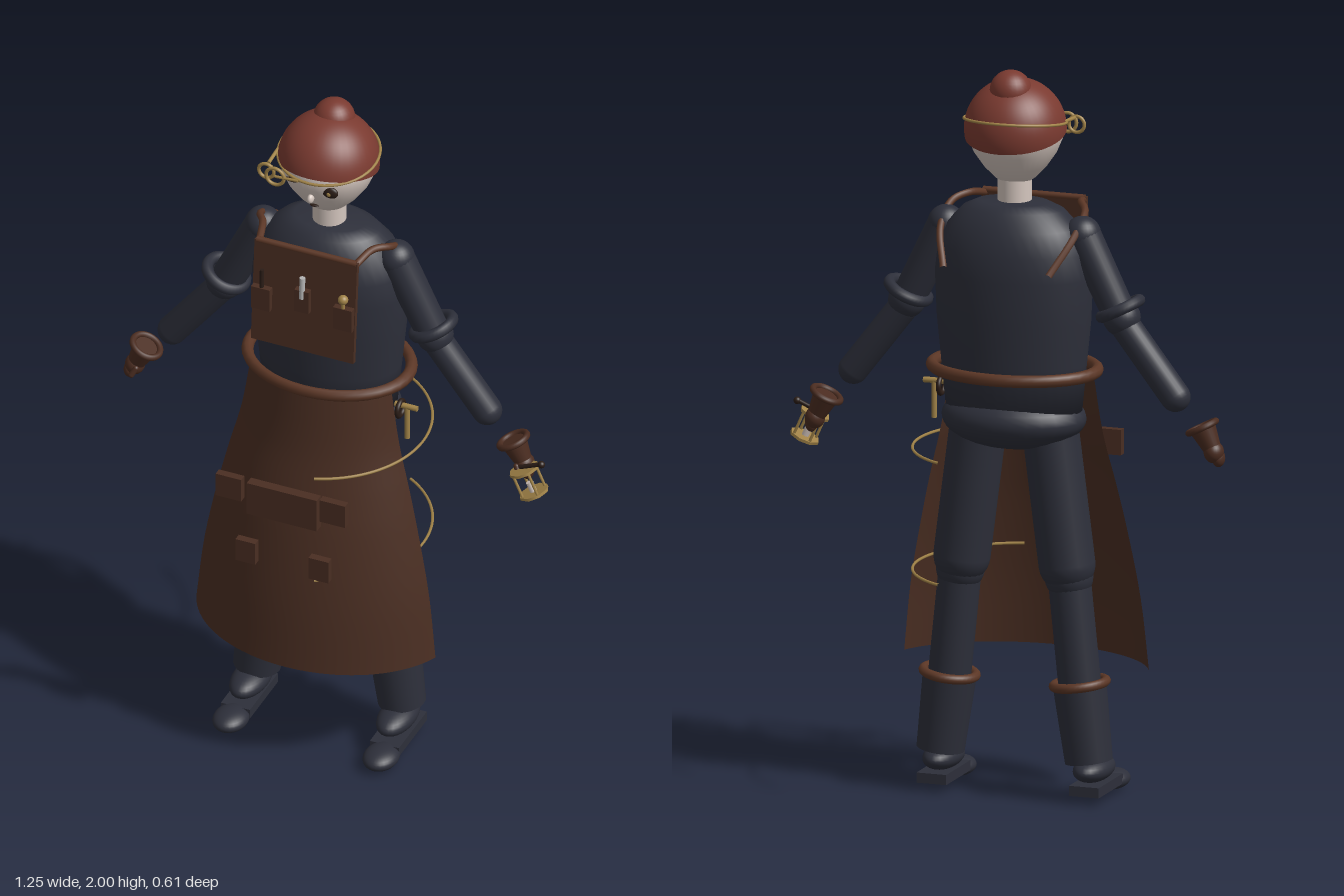
import * as THREE from 'three';

const mat = (name, color, side = THREE.FrontSide) => {
  const m = new THREE.MeshStandardMaterial({ color, side });
  m.name = name;
  return m;
};

export function createModel() {
  const navy = mat('navy cloth', 0x2d2f3a);
  const apron = mat('apron leather', 0x4a2e22, THREE.DoubleSide);
  const strap = mat('strap leather', 0x5c3726);
  const glove = mat('glove leather', 0x4a2c20);
  const red = mat('red cap', 0x7a3a30);
  const skin = mat('skin', 0xd4c6be);
  const brass = mat('brass', 0xa08247);
  const steel = mat('steel', 0xb4b4b4);
  const dark = mat('dark', 0x2a1c16);

  const model = new THREE.Group();
  const body = new THREE.Group();
  body.name = 'figure';
  body.position.x = -0.03;
  model.add(body);

  const V = (a) => new THREE.Vector3(...a);
  const UP = new THREE.Vector3(0, 1, 0);
  const add = (name, geo, m, p = [0, 0, 0], parent = body) => {
    const o = new THREE.Mesh(geo, m);
    o.name = name;
    o.position.set(...p);
    parent.add(o);
    return o;
  };
  const ball = (name, m, p, rx, ry = rx, rz = rx) => {
    const o = add(name, new THREE.SphereGeometry(1, 28, 18), m, p);
    o.scale.set(rx, ry, rz);
    return o;
  };
  const box = (name, m, p, s) => add(name, new THREE.BoxGeometry(...s), m, p);
  // aims a mesh's local y axis from a to b
  const aim = (o, a, b) => {
    o.quaternion.setFromUnitVectors(UP, V(b).sub(V(a)).normalize());
    return o;
  };
  const mid = (a, b) => a.map((v, i) => (v + b[i]) / 2);
  const rod = (name, m, a, b, ra, rb = ra) =>
    aim(add(name, new THREE.CylinderGeometry(rb, ra, V(a).distanceTo(V(b)), 24), m, mid(a, b)), a, b);
  const capsule = (name, m, a, b, r) =>
    aim(add(name, new THREE.CapsuleGeometry(r, V(a).distanceTo(V(b)), 8, 24), m, mid(a, b)), a, b);
  // ring whose hole runs along the direction a to b
  const ring = (name, m, p, r, t, a = [0, 0, 0], b = [0, 1, 0]) =>
    aim(add(name, new THREE.TorusGeometry(r, t, 10, 40).rotateX(Math.PI / 2), m, p), a, b);
  const tube = (name, m, pts, r, n = 32) =>
    add(name, new THREE.TubeGeometry(new THREE.CatmullRomCurve3(pts.map(V)), n, r, 8), m);
  const lathe = (name, m, pts, z, zScale = 1) => {
    const o = add(name, new THREE.LatheGeometry(pts.map((q) => new THREE.Vector2(...q)), 40), m, [0, 0, z]);
    o.scale.z = zScale;
    return o;
  };

  // Torso, hips and belt
  lathe('torso', navy, [[0, 1.06], [0.19, 1.07], [0.203, 1.2], [0.215, 1.32], [0.22, 1.44], [0.212, 1.51],
    [0.185, 1.575], [0.14, 1.62], [0.1, 1.638], [0, 1.642]], -0.025, 0.67);
  ball('hips', navy, [0, 1.045, -0.025], 0.2, 0.085, 0.152);
  ring('belt', strap, [0, 1.18, -0.02], 0.228, 0.017).scale.z = 0.76;

  // Head
  rod('neck', skin, [0, 1.6, -0.02], [0, 1.72, -0.02], 0.046);
  lathe('face', skin, [[0, 1.678], [0.025, 1.682], [0.055, 1.702], [0.085, 1.733], [0.112, 1.772],
    [0.128, 1.81], [0.133, 1.845], [0.12, 1.89], [0, 1.93]], -0.015);
  const cap = add('cap', new THREE.SphereGeometry(0.138, 40, 24, 0, Math.PI * 2, 0, Math.PI * 0.53), red, [0, 1.835, -0.015]);
  cap.rotation.x = -0.24;
  ball('capBun', red, [0, 1.945, -0.05], 0.057);
  ring('capBand', brass, [0, 1.857, -0.016], 0.138, 0.004).rotation.x = 0.13;
  ball('leftEye', dark, [0.054, 1.812, 0.1], 0.024, 0.018, 0.01);
  ball('leftPupil', brass, [0.054, 1.81, 0.108], 0.007, 0.007, 0.004);
  ball('rightEye', dark, [-0.054, 1.826, 0.104], 0.022, 0.006, 0.008);
  ball('nose', skin, [0, 1.78, 0.105], 0.009, 0.014, 0.014);
  ball('mouth', dark, [0, 1.742, 0.081], 0.013, 0.0035, 0.006);

  // Magnifier beside the right eye
  const front = [0, 0, 1];
  ring('lensRing', brass, [-0.1, 1.83, 0.115], 0.026, 0.005, [0, 0, 0], front);
  ring('outerLensRing', brass, [-0.132, 1.83, 0.1], 0.022, 0.005, [0, 0, 0], front);
  rod('lensArm', brass, [-0.13, 1.85, 0.09], [-0.13, 1.857, 0.01], 0.005);
  rod('lensLink', brass, [-0.1, 1.83, 0.115], [-0.03, 1.838, 0.12], 0.004);

  // Bib with pockets and tools
  const bib = box('bib', apron, [0, 1.47, 0.143], [0.3, 0.31, 0.014]);
  bib.rotation.x = -0.08;
  rod('bibTopRoll', strap, [-0.145, 1.622, 0.13], [0.145, 1.622, 0.13], 0.009);
  for (const [x, y, w] of [[-0.12, 1.455, 0.055], [0, 1.48, 0.042], [0.12, 1.455, 0.055]])
    box('bibPocket', apron, [x, y, 0.158], [w, 0.07, 0.018]);
  rod('darkTool', dark, [-0.12, 1.46, 0.16], [-0.12, 1.545, 0.156], 0.006);
  rod('steelTool', steel, [0, 1.49, 0.163], [0, 1.555, 0.16], 0.008);
  rod('brassTool', brass, [0.12, 1.46, 0.162], [0.12, 1.52, 0.162], 0.005);
  ball('brassKnob', brass, [0.12, 1.518, 0.162], 0.014);

  // Apron skirt: elliptical arcs, each row is [y, half width, half depth]
  const rows = [[1.18, 0.213, 0.175], [1.0, 0.242, 0.194], [0.87, 0.276, 0.222], [0.75, 0.305, 0.247],
    [0.55, 0.345, 0.276], [0.35, 0.368, 0.293]];
  const curve = new THREE.CatmullRomCurve3(rows.map(V));
  const n = 40, m = 20, pos = [], idx = [];
  for (let j = 0; j <= m; j++) {
    const r = curve.getPoint(j / m);
    for (let i = 0; i <= n; i++) {
      const t = THREE.MathUtils.degToRad(162 - (144 * i) / n);
      pos.push(r.y * Math.cos(t), r.x, -0.02 + r.z * Math.sin(t));
      const a = j * (n + 1) + i, b = a + n + 1;
      if (i < n && j < m) idx.push(a, b, a + 1, a + 1, b, b + 1);
    }
  }
  const skirt = new THREE.BufferGeometry();
  skirt.setAttribute('position', new THREE.Float32BufferAttribute(pos, 3));
  skirt.setIndex(idx);
  skirt.computeVertexNormals();
  add('apronSkirt', skirt, apron);
  box('tool pouch', apron, [0, 0.89, 0.283], [0.205, 0.1, 0.028]);
  for (const s of [-1, 1]) {
    box('upperPocket', apron, [0.152 * s, 0.917, 0.295], [0.075, 0.07, 0.022]);
    box('lowerPocket', apron, [0.107 * s, 0.712, 0.285], [0.058, 0.068, 0.022]);
  }

  // Brass hoops around the left side
  for (const y of [0.965, 0.63]) {
    const hoop = add('brassHoop', new THREE.TorusGeometry(0.295, 0.004, 6, 48, 2.29), brass, [-0.03, y, -0.04]);
    hoop.rotation.set(Math.PI / 2, 0, -1.06, 'XYZ');
  }

  // Hammer hung at the left hip
  rod('hammerHandle', brass, [0.245, 1.01, 0.02], [0.245, 1.11, 0.02], 0.008);
  rod('hammerHead', brass, [0.21, 1.112, 0.02], [0.275, 1.112, 0.02], 0.008);
  ring('hammerLoop', dark, [0.225, 1.1, 0.02], 0.022, 0.007, [0, 0, 0], [1, 0, 0]);

  for (const s of [-1, 1]) {
    const P = (x, y, z) => [x * s, y, z];

    // Shoulder strap
    tube('shoulderStrap', strap, [P(0.14, 1.615, 0.13), P(0.16, 1.628, 0.06), P(0.19, 1.615, 0.01),
      P(0.19, 1.56, -0.08), P(0.15, 1.47, -0.165)], 0.01);

    // Arm
    const z = -0.022, sh = P(0.195, 1.56, z), el = P(0.293, 1.36, z), wr = P(0.46, 1.135, z);
    ball('shoulder', navy, sh, 0.05);
    rod('upperArm', navy, sh, P(0.3, 1.35, z), 0.049, 0.046);
    ring('elbowBand', navy, P(0.303, 1.365, z), 0.056, 0.016, sh, el);
    ball('elbow', navy, P(0.307, 1.34, z), 0.051);
    capsule('forearm', navy, P(0.32, 1.315, z), wr, 0.041);

    // Gloved hand
    const c = P(0.537, 1.058, z), h = P(0.567, 0.998, z);
    ring('gloveCuff', glove, c, 0.04, 0.009, c, h);
    rod('gloveWrist', glove, c, h, 0.037, 0.024);
    ball('hand', glove, P(0.57, 0.992, z), 0.027, 0.03, 0.03);
    ball('fingers', glove, P(0.582, 0.975, z + 0.005), 0.017, 0.024, 0.022);
    capsule('thumb', glove, P(0.557, 0.995, z + 0.025), P(0.567, 0.975, z + 0.032), 0.008);

    // Leg
    capsule('thigh', navy, P(0.105, 1.0, -0.022), P(0.15, 0.65, -0.022), 0.077);
    ball('knee', navy, P(0.155, 0.615, -0.02), 0.066);
    rod('shin', navy, P(0.155, 0.62, -0.02), P(0.188, 0.3, -0.02), 0.058);
    rod('bootShaft', navy, P(0.185, 0.325, -0.02), P(0.212, 0.112, -0.02), 0.073, 0.065);
    ring('bootBand', strap, P(0.186, 0.323, -0.02), 0.071, 0.013, P(0.212, 0.112, 0), P(0.185, 0.325, 0));
    ball('ankle', navy, P(0.215, 0.085, 0.012), 0.05, 0.035, 0.095);
    box('sole', navy, P(0.218, 0.038, 0.018), [0.085, 0.028, 0.185]);
    ball('toe', navy, P(0.22, 0.03, 0.135), 0.048, 0.028, 0.062);
  }

  // Lantern held in the left hand
  const lantern = new THREE.Group();
  lantern.name = 'lantern';
  lantern.position.set(0.597, 0.962, 0.01);
  lantern.rotation.z = 0.42;
  body.add(lantern);
  for (const y of [-0.036, 0.036])
    add('lanternPlate', new THREE.CylinderGeometry(0.042, 0.042, 0.008, 8), brass, [0, y, 0], lantern);
  for (let i = 0; i < 4; i++) {
    const a = (i + 0.5) * Math.PI / 2;
    add('lanternPost', new THREE.CylinderGeometry(0.004, 0.004, 0.072, 8), brass,
      [0.034 * Math.cos(a), 0, 0.034 * Math.sin(a)], lantern);
  }
  add('lanternCandle', new THREE.CylinderGeometry(0.01, 0.01, 0.03, 12), skin, [0, -0.018, 0], lantern);
  rod('lanternHandle', dark, [0.57, 1.0, 0.01], [0.635, 1.028, 0.01], 0.006);
  ball('lanternHandleKnob', dark, [0.633, 1.026, 0.01], 0.01);

  return model;
}
